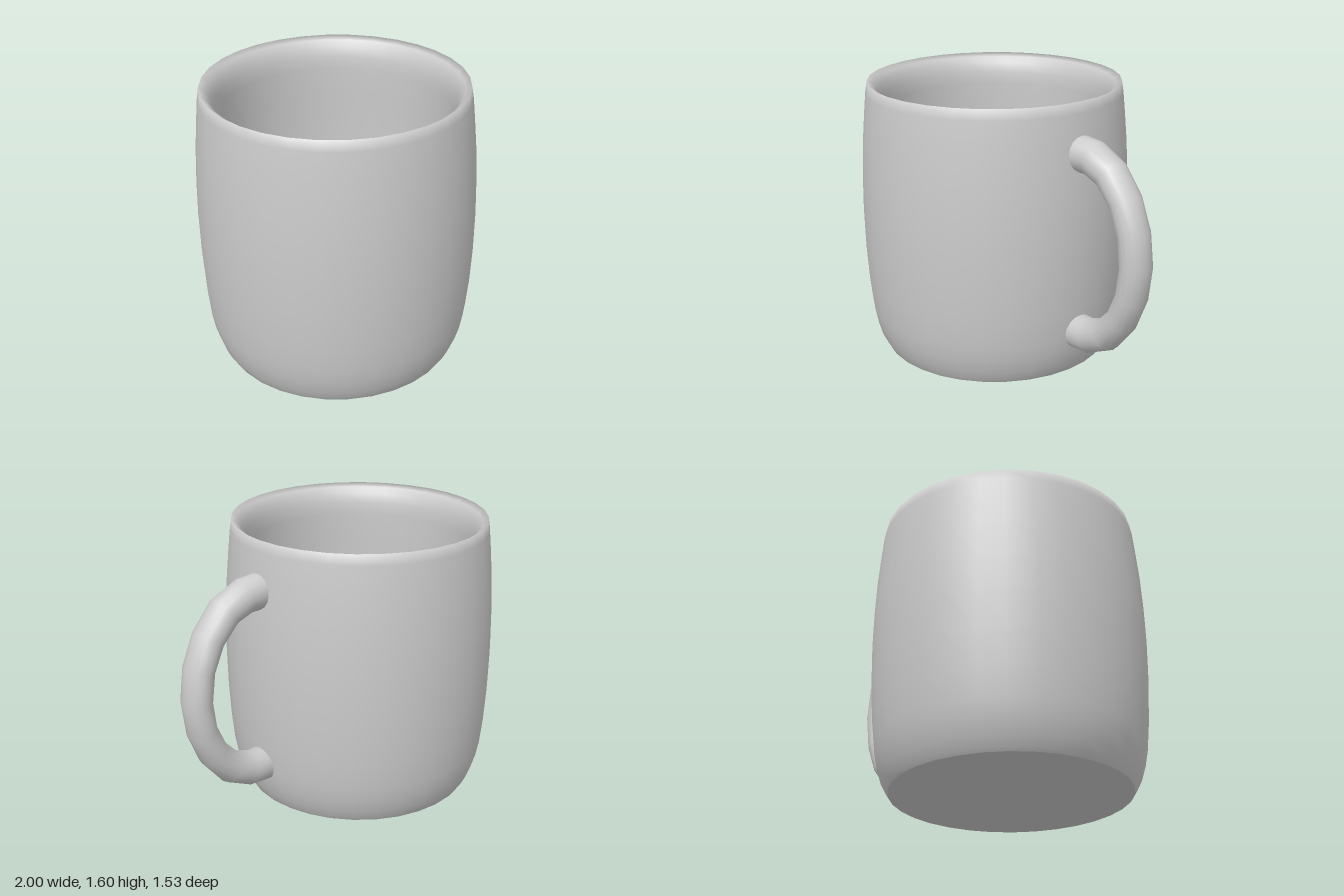
import * as THREE from 'three';

const CUP_X = -0.236;

export function createModel() {
  const group = new THREE.Group();
  const material = new THREE.MeshStandardMaterial({ color: 0xcccccc });

  function add(name, geometry, x = 0) {
    const mesh = new THREE.Mesh(geometry, material);
    mesh.name = name;
    mesh.position.x = x;
    group.add(mesh);
  }

  // Turned cup surfaces, each its own lathe so the edges between them stay crisp
  function turned(name, profile) {
    const points = profile.map(([r, y]) => new THREE.Vector2(r, y));
    add(name, new THREE.LatheGeometry(points, 32), CUP_X);
  }

  turned('base', [[0, 0], [0.35, 0.006], [0.6, 0.016], [0.655, 0.025]]);
  // Bellied outside, sloping lip and thick inner wall, smooth over the rim
  turned('wall', [
    [0.655, 0.025], [0.668, 0.045], [0.695, 0.1], [0.719, 0.18], [0.736, 0.27], [0.751, 0.42],
    [0.762, 0.62], [0.766, 0.85], [0.762, 1.05], [0.752, 1.25], [0.737, 1.42], [0.725, 1.54], [0.715, 1.6],
    [0.685, 1.58], [0.66, 1.545], [0.645, 1.49], [0.64, 1.42], [0.645, 1.25], [0.65, 1.05],
    [0.652, 0.85], [0.65, 0.62], [0.645, 0.42], [0.637, 0.27], [0.627, 0.18], [0.61, 0.11],
  ]);
  turned('innerFloor', [[0.61, 0.11], [0, 0.1]]);

  // Handle: elliptical sections along a path, mirrored about its mid height
  const midY = 0.812;
  const upper = [ // x, height above the middle, in-plane half thickness
    [0.475, 0.512, 0.1], [0.59, 0.508, 0.097], [0.72, 0.453, 0.09],
    [0.83, 0.33, 0.083], [0.897, 0.175, 0.08],
  ];
  const path = [
    ...upper,
    [0.92, 0, 0.08],
    ...upper.map(([x, y, t]) => [x, -y, t]).reverse(),
  ];
  const sides = 16;
  const positions = [];
  const indices = [];
  path.forEach(([x, y, t], i) => {
    const a = path[Math.max(i - 1, 0)];
    const b = path[Math.min(i + 1, path.length - 1)];
    const dir = new THREE.Vector2(b[0] - a[0], b[1] - a[1]).normalize();
    for (let j = 0; j < sides; j++) {
      const angle = (j / sides) * Math.PI * 2;
      const out = Math.cos(angle) * t;
      positions.push(x - dir.y * out, midY + y + dir.x * out, Math.sin(angle) * 0.095);
      if (i > 0) {
        const k = (j + 1) % sides;
        const p = (i - 1) * sides;
        const q = i * sides;
        indices.push(p + j, p + k, q + j, p + k, q + k, q + j);
      }
    }
  });
  const handle = new THREE.BufferGeometry();
  handle.setAttribute('position', new THREE.Float32BufferAttribute(positions, 3));
  handle.setIndex(indices);
  handle.computeVertexNormals();
  add('handle', handle);

  return group;
}
